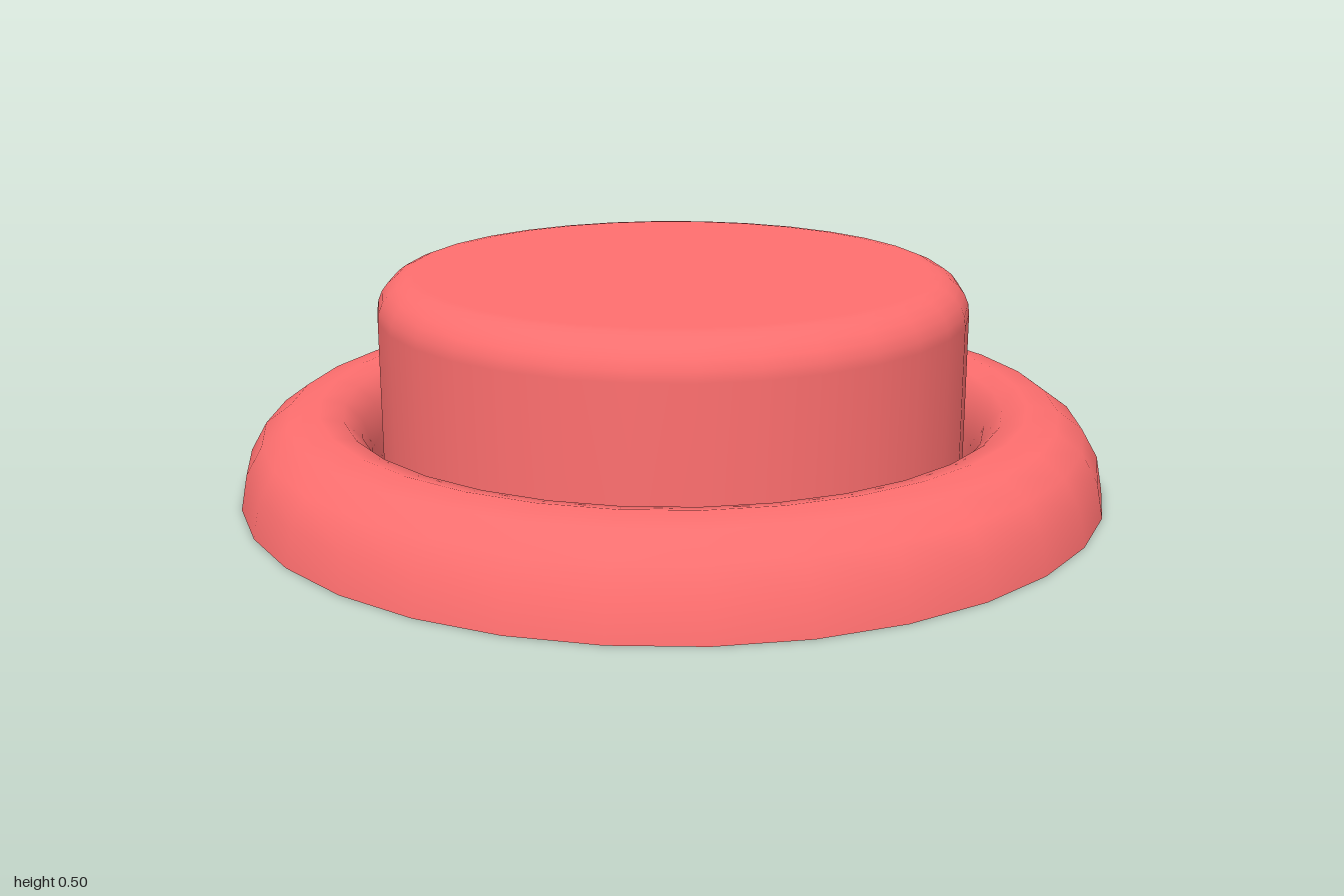
import * as THREE from 'three';

const SIDES = 32;

export function createModel() {
  const group = new THREE.Group();
  const red = new THREE.MeshStandardMaterial({ color: 0xff6f6f });
  const black = new THREE.MeshStandardMaterial({ color: 0x050505, side: THREE.DoubleSide });

  const lathe = (name, profile) => {
    const points = profile.map(([r, y]) => new THREE.Vector2(r, y));
    const mesh = new THREE.Mesh(new THREE.LatheGeometry(points, SIDES), red);
    mesh.name = name;
    group.add(mesh);
  };

  // Rounded ring, from its outer foot over the crown to its inner foot
  lathe('baseRing', [
    [1, 0], [0.985, 0.08], [0.948, 0.145], [0.89, 0.187], [0.82, 0.2],
    [0.765, 0.187], [0.725, 0.145], [0.705, 0.08], [0.7, 0],
  ]);

  // Push button: straight wall, rounded rim, flat top
  const radius = 0.68, height = 0.5, bevel = 0.09, steps = 6;
  const cap = [[radius, 0]];
  for (let i = 0; i <= steps; i++) {
    const a = (i / steps) * Math.PI / 2;
    cap.push([radius - bevel + bevel * Math.cos(a), height - bevel + bevel * Math.sin(a)]);
  }
  cap.push([0, height]);
  lathe('buttonCap', cap);

  // Dark plate closing the underside and the floor of the gap
  const plate = new THREE.Mesh(new THREE.CircleGeometry(1, SIDES), black);
  plate.name = 'basePlate';
  plate.rotation.x = Math.PI / 2;
  group.add(plate);

  return group;
}
